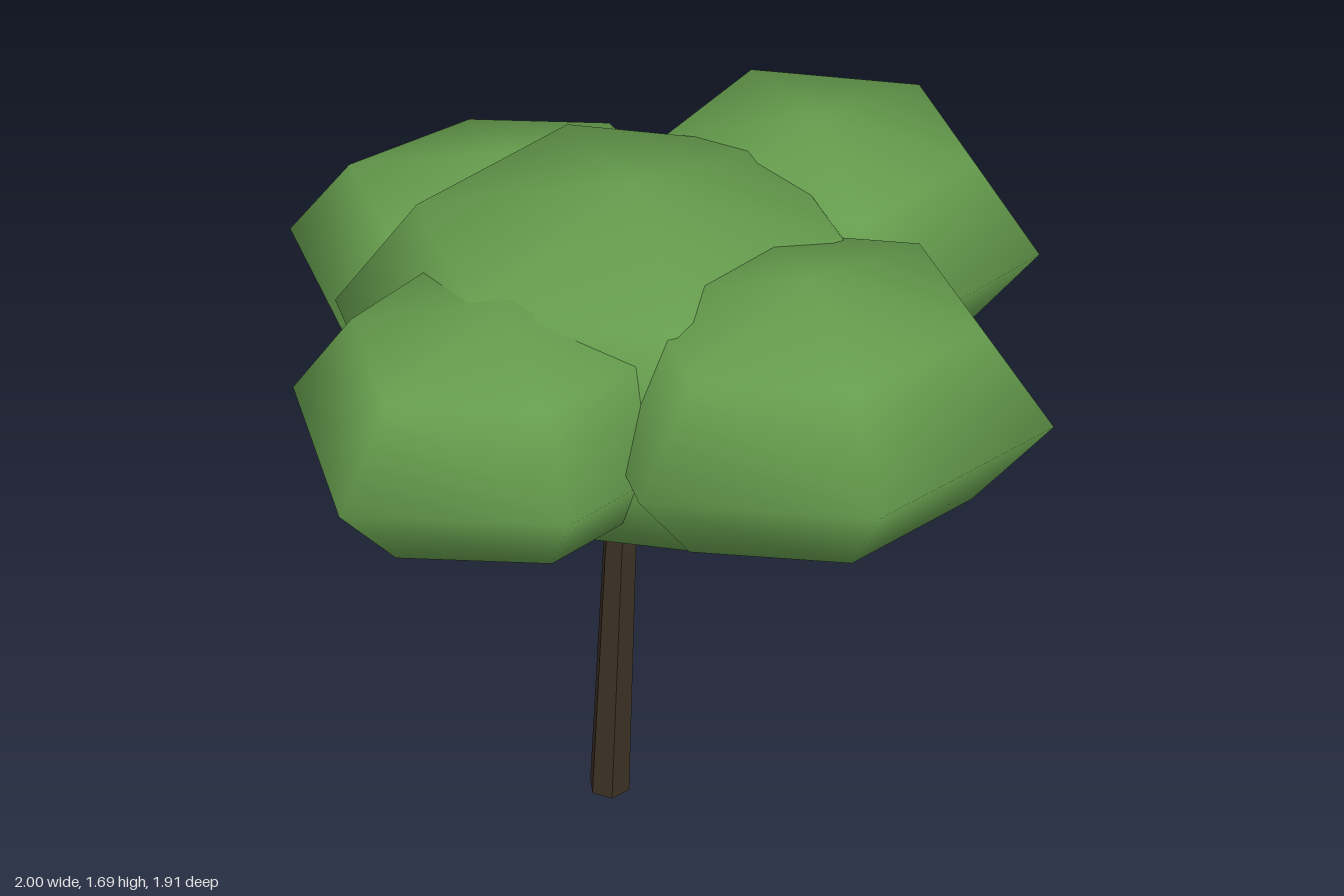
import * as THREE from 'three';

const leafGreen = new THREE.MeshStandardMaterial({ color: 0x659c4d });
leafGreen.name = 'leaf green';
const barkBrown = new THREE.MeshStandardMaterial({ color: 0x3b3024 });
barkBrown.name = 'bark brown';

// Turns stacked rings of [x, y, z] points, listed from the top down, into a closed indexed solid.
// Each ring runs from +x towards +z; top and bottom are single points.
function closedRings(top, rings, bottom) {
  const n = rings[0].length;
  const positions = [...top, ...rings.flat(2), ...bottom];
  const last = positions.length / 3 - 1;
  const index = [];
  for (let i = 0; i < n; i++) {
    const j = (i + 1) % n;
    index.push(0, 1 + j, 1 + i);
    for (let r = 0; r < rings.length - 1; r++) {
      const a = 1 + r * n, b = a + n;
      index.push(a + i, a + j, b + i, a + j, b + j, b + i);
    }
    index.push(last, last - n + i, last - n + j);
  }
  const geometry = new THREE.BufferGeometry();
  geometry.setAttribute('position', new THREE.Float32BufferAttribute(positions, 3));
  geometry.setIndex(index);
  geometry.computeVertexNormals();
  return geometry;
}

// A squat six-sided clump: an equator outline of [x, z] points and two narrower rings.
function leafClump({ name, center, height, outline, tip = 0.7 }) {
  const [cx, cy, cz] = center;
  const ring = (scale, lift) => outline.map(([x, z], i) => {
    const s = scale < 1 && i === 0 ? tip : scale;
    return [cx + (x - cx) * s, cy + lift * height, cz + (z - cz) * s];
  });
  const geometry = closedRings(
    [cx, cy + height, cz],
    [ring(0.7, 0.71), ring(1, 0), ring(0.7, -0.71)],
    [cx, cy - height, cz]
  );
  const mesh = new THREE.Mesh(geometry, leafGreen);
  mesh.name = name;
  return mesh;
}

const clumps = [
  {
    name: 'middleLeaves', center: [-0.06, 1.305, -0.02], height: 0.385,
    outline: [[0.64, -0.01], [0.29, 0.58], [-0.41, 0.58], [-0.76, -0.01], [-0.41, -0.61], [0.29, -0.61]],
  },
  {
    name: 'frontLeaves', center: [-0.07, 1.36, 0.49], height: 0.3,
    outline: [[0.47, 0.5], [0.19, 0.955], [-0.31, 0.88], [-0.59, 0.48], [-0.31, 0.04], [0.19, 0.07]],
  },
  {
    name: 'backLeaves', center: [0.03, 1.275, -0.49], height: 0.275,
    outline: [[0.56, -0.5], [0.27, -0.06], [-0.22, -0.08], [-0.5, -0.46], [-0.23, -0.96], [0.26, -0.88]],
  },
  {
    name: 'leftLeaves', center: [0.5, 1.34, 0.04], height: 0.31, tip: 0.82,
    outline: [[1, 0.04], [0.77, 0.51], [0.22, 0.47], [0.02, 0.03], [0.22, -0.37], [0.79, -0.46]],
  },
  {
    name: 'rightLeaves', center: [-0.5, 1.33, 0.02], height: 0.27,
    outline: [[0, 0.02], [-0.25, 0.44], [-0.71, 0.4], [-1, 0.03], [-0.74, -0.39], [-0.25, -0.43]],
  },
];

// Leaning trunk: centre x, height and radius of each six-sided ring, from the top down.
function trunk() {
  const levels = [[-0.06, 1.1, 0.033], [-0.08, 0.93, 0.037], [-0.1, 0.72, 0.042], [-0.145, 0, 0.053]];
  const z = -0.02;
  const rings = levels.map(([x, y, r]) => Array.from({ length: 6 }, (_, i) => {
    const a = (i / 6) * Math.PI * 2 + 0.2;
    return [x + Math.cos(a) * r, y, z + Math.sin(a) * r];
  }));
  const geometry = closedRings([-0.06, 1.1, z], rings, [-0.145, 0, z]).toNonIndexed();
  geometry.computeVertexNormals(); // flat facets
  const mesh = new THREE.Mesh(geometry, barkBrown);
  mesh.name = 'trunk';
  return mesh;
}

export function createModel() {
  const tree = new THREE.Group();
  tree.name = 'tree';
  const canopy = new THREE.Group();
  canopy.name = 'canopy';
  canopy.add(...clumps.map(leafClump));
  tree.add(trunk(), canopy);
  return tree;
}
